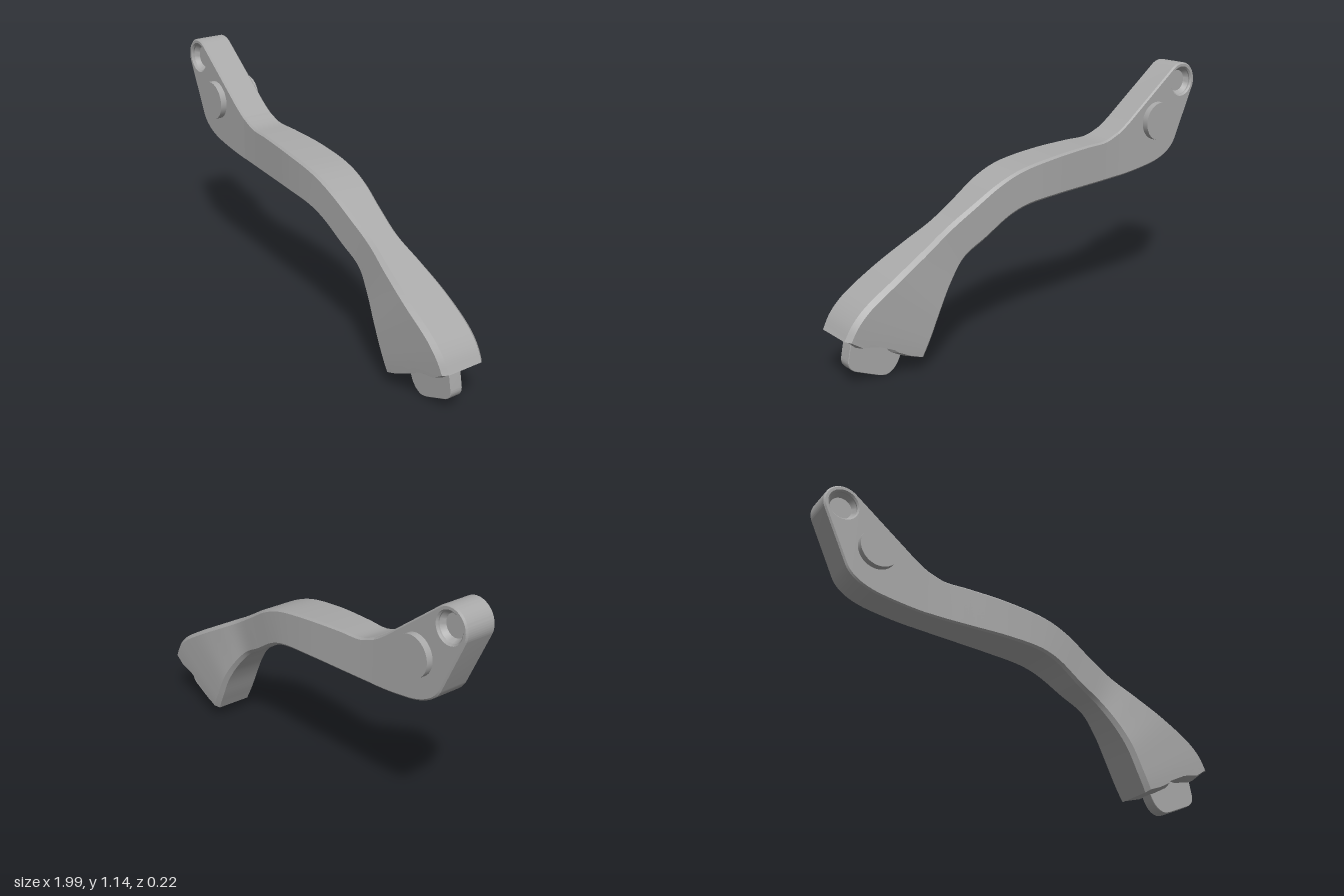
import * as THREE from 'three';
import { toCreasedNormals } from 'three/addons/utils/BufferGeometryUtils.js';

// Surface through rows of points; closed joins the last column to the first
function grid(rows, closed) {
  const n = rows[0].length, index = [];
  for (let i = 0; i < rows.length - 1; i++) {
    for (let j = 0; j < (closed ? n : n - 1); j++) {
      const k = (j + 1) % n;
      const a = i * n + j, b = (i + 1) * n + j, c = (i + 1) * n + k, d = i * n + k;
      index.push(a, b, c, a, c, d);
    }
  }
  const geo = new THREE.BufferGeometry();
  geo.setAttribute('position', new THREE.Float32BufferAttribute(rows.flat(2), 3));
  geo.setIndex(index);
  return toCreasedNormals(geo, 0.5);
}

// Extrusion centred on z = 0, with a small chamfer inside the outline
function plate(shape, half, bevel) {
  const geo = new THREE.ExtrudeGeometry(shape, {
    depth: 2 * (half - bevel), curveSegments: 24, bevelEnabled: true,
    bevelThickness: bevel, bevelSize: bevel, bevelOffset: -bevel, bevelSegments: 1,
  });
  geo.translate(0, 0, bevel - half);
  return toCreasedNormals(geo, 0.5);
}

export function createModel() {
  const group = new THREE.Group();
  const metal = new THREE.MeshStandardMaterial({ color: 0xa9a9a9 });
  metal.name = 'grey metal';
  const add = (name, geo) => {
    const mesh = new THREE.Mesh(geo, metal);
    mesh.name = name;
    group.add(mesh);
    return mesh;
  };

  // Arm: lower edge x, y, upper edge x, y, half thickness
  const stations = [
    [-0.5, 0.645, -0.5, 0.857, 0.075], [-0.42, 0.641, -0.42, 0.829, 0.078],
    [-0.3, 0.637, -0.3, 0.824, 0.085], [-0.1, 0.63, -0.1, 0.81, 0.097],
    [0.07, 0.613, 0.1, 0.78, 0.099], [0.16, 0.58, 0.22, 0.735, 0.094],
    [0.28, 0.503, 0.34, 0.665, 0.083], [0.39, 0.435, 0.47, 0.59, 0.076],
    [0.47, 0.345, 0.6, 0.52, 0.092], [0.53, 0.25, 0.75, 0.438, 0.106],
    [0.58, 0.145, 0.9, 0.345, 0.108], [0.605, 0.095, 0.96, 0.285, 0.107],
    [0.625, 0.055, 0.995, 0.225, 0.104],
  ];
  const lower = new THREE.CatmullRomCurve3(stations.map((s) => new THREE.Vector3(s[0], s[1], s[4])));
  const upper = new THREE.CatmullRomCurve3(stations.map((s) => new THREE.Vector3(s[2], s[3], s[4])));

  // Position across the arm and height of the broken end there
  const columns = [
    [0, 0], [0.05, 0.004], [0.2, 0], [0.36, 0.004], [0.42, 0.03], [0.5, 0.036],
    [0.6, 0.012], [0.68, 0.006], [0.8, -0.006], [0.95, 0.004], [1, 0],
  ];
  const last = columns.length - 1, steps = 60;
  const rows = [];
  for (let i = 0; i <= steps; i++) {
    const u = i / steps;
    const a = lower.getPoint(u), b = upper.getPoint(u);
    const bevel = 0.008 + 0.012 * THREE.MathUtils.smoothstep(u, 0.1, 0.9);
    const inset = bevel / Math.hypot(b.x - a.x, b.y - a.y);
    const side = columns.map(([v, jag], k) => {
      const edge = k === 0 || k === last;
      const t = edge ? v : THREE.MathUtils.clamp(
        k === 1 ? inset : k === last - 1 ? 1 - inset : v, inset, 1 - inset);
      const lift = i === steps ? jag : 0;
      return [
        a.x + (b.x - a.x) * t - 0.4 * lift,
        a.y + (b.y - a.y) * t + 0.9 * lift,
        a.z - (edge ? bevel : 0),
      ];
    });
    rows.push([...side, ...side.map(([x, y, z]) => [x, y, -z]).reverse()]);
  }
  add('arm', grid(rows, true));

  // Uneven underside of the foot, slightly lower in the middle
  const rim = rows[steps].slice(0, last + 1);
  add('footUnderside', grid(rim.map(([x, y, z], k) => {
    const drop = k > 1 && k < last - 1 ? 0.014 : 0;
    const mid = [x + 0.4 * drop, y - 0.9 * drop];
    return [[x, y, -z], [...mid, -0.06], [...mid, 0.06], [x, y, z]];
  }), false));

  // Head plate with a round end and an eye
  const head = new THREE.Shape();
  head.absarc(-0.91, 1.05, 0.09, 0.912, 3.571, false);
  head.lineTo(-0.885, 0.78);
  head.bezierCurveTo(-0.86, 0.72, -0.79, 0.685, -0.7, 0.67);
  head.quadraticCurveTo(-0.6, 0.652, -0.5, 0.645);
  head.lineTo(-0.47, 0.655);
  head.lineTo(-0.47, 0.83);
  head.lineTo(-0.5, 0.857);
  head.quadraticCurveTo(-0.53, 0.873, -0.57, 0.902);
  head.closePath();
  const eye = new THREE.Path();
  eye.absarc(-0.91, 1.05, 0.064, 0, Math.PI * 2, true);
  head.holes.push(eye);
  add('head', plate(head, 0.075, 0.007));

  // Conical blind recess on each side of the eye
  const recess = [[0.072, 0.074], [0.054, 0.045], [0.05, 0.04], [0, 0.04]]
    .map(([r, y]) => new THREE.Vector2(r, y));
  for (const s of [1, -1]) {
    const geo = toCreasedNormals(new THREE.LatheGeometry(recess.slice().reverse(), 40), 0.5);
    // Lathe from axis outward faces down, so flip the triangles to face out
    const p = geo.attributes.position, nrm = geo.attributes.normal;
    for (let i = 0; i < p.count; i++) nrm.setXYZ(i, -nrm.getX(i), -nrm.getY(i), -nrm.getZ(i));
    for (const at of [p, nrm]) {
      for (let i = 0; i < at.count; i += 3) {
        const b = [at.getX(i + 1), at.getY(i + 1), at.getZ(i + 1)];
        at.setXYZ(i + 1, at.getX(i + 2), at.getY(i + 2), at.getZ(i + 2));
        at.setXYZ(i + 2, ...b);
      }
    }
    geo.rotateX(s * Math.PI / 2);
    add(s > 0 ? 'frontRecess' : 'backRecess', geo).position.set(-0.91, 1.05, 0);
  }

  // Pivot pin through the head
  const pin = new THREE.CylinderGeometry(0.09, 0.09, 0.21, 48);
  pin.rotateX(Math.PI / 2);
  add('pivotPin', pin).position.set(-0.745, 0.88, 0);

  // Rounded tongue under the foot
  const tongue = new THREE.Shape();
  tongue.moveTo(0.68, 0.12);
  tongue.lineTo(0.705, 0.06);
  tongue.quadraticCurveTo(0.73, 0.005, 0.775, 0);
  tongue.quadraticCurveTo(0.8, 0.003, 0.82, 0.012);
  tongue.lineTo(0.92, 0.055);
  tongue.quadraticCurveTo(0.955, 0.075, 0.95, 0.11);
  tongue.lineTo(0.93, 0.21);
  tongue.lineTo(0.8, 0.24);
  tongue.closePath();
  add('tongue', plate(tongue, 0.03, 0.002));

  return group;
}
